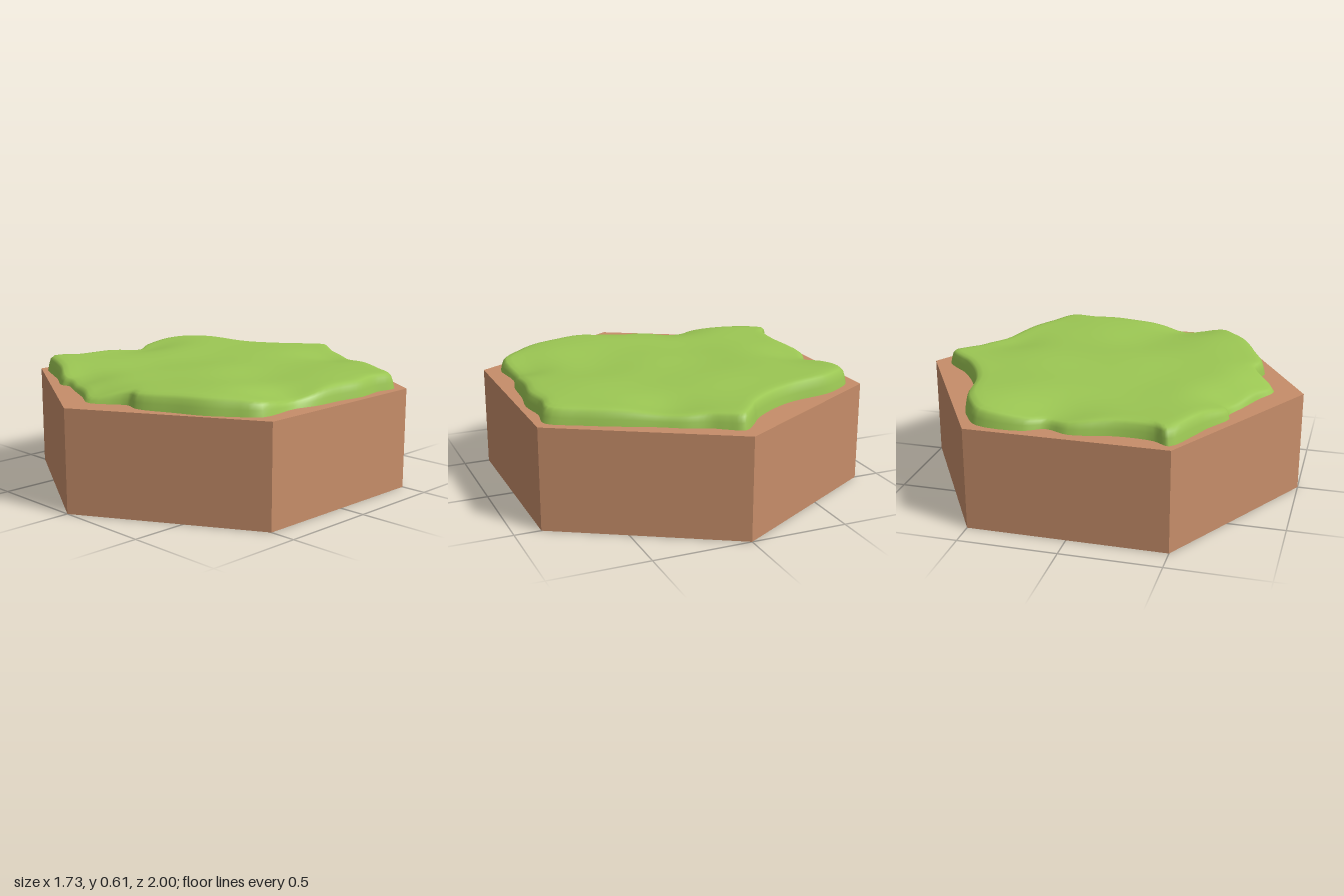
import * as THREE from 'three';

const BASE_HEIGHT = 0.52;

// Edge of the turf as [x, z], starting at the back tip and running over +x
const OUTLINE = [
  [0, -0.91], [0.07, -0.87], [0.14, -0.82], [0.24, -0.78], [0.36, -0.71], [0.55, -0.62],
  [0.68, -0.55], [0.82, -0.46], [0.81, -0.33], [0.83, -0.19], [0.81, -0.05], [0.8, 0.12],
  [0.77, 0.25], [0.78, 0.47], [0.68, 0.56], [0.57, 0.64], [0.43, 0.7], [0.25, 0.77],
  [0.16, 0.75], [0, 0.85], [-0.13, 0.79], [-0.27, 0.73], [-0.38, 0.68], [-0.43, 0.69],
  [-0.57, 0.61], [-0.66, 0.57], [-0.82, 0.48], [-0.78, 0.4], [-0.77, 0.22], [-0.81, 0],
  [-0.77, -0.12], [-0.82, -0.22], [-0.81, -0.45], [-0.72, -0.53], [-0.62, -0.58],
  [-0.41, -0.62], [-0.27, -0.68], [-0.13, -0.78], [-0.08, -0.84],
];

// Gentle hollows and mounds: [x, z, radius, height]
const BUMPS = [
  [0.28, -0.64, 0.18, -0.035], [-0.02, 0.86, 0.17, -0.06], [-0.3, 0.72, 0.18, -0.05],
  [-0.72, -0.08, 0.2, -0.035], [0.76, 0.25, 0.17, -0.05], [-0.25, 0.28, 0.2, -0.018],
  [0.35, 0.05, 0.2, -0.012], [-0.45, -0.4, 0.25, 0.012], [0.55, 0.48, 0.18, 0.01],
];

function turfHeight(x, z) {
  let h = 0.083 + 0.005 * Math.sin(9 * x + 3 * z) * Math.cos(8 * z - 2 * x);
  for (const [bx, bz, r, amount] of BUMPS) {
    h += amount * Math.exp(-((x - bx) ** 2 + (z - bz) ** 2) / (r * r));
  }
  return Math.min(Math.max(h, 0.014), 0.1);
}

// Concentric rings: steep rim, rounded shoulder, then the rolling top
function turfGeometry() {
  const curve = new THREE.CatmullRomCurve3(
    OUTLINE.map(([x, z]) => new THREE.Vector3(x, 0, z)), true, 'centripetal');
  const n = 156;
  const edge = Array.from({ length: n }, (_, i) => curve.getPoint(i / n));
  const rings = [[1, 0], [0.992, 0.4], [0.982, 0.75], [0.965, 0.93], [0.93, 1]];
  for (let i = 1; i <= 18; i++) rings.push([0.93 * (1 - i / 18.3), 1]);

  const positions = [];
  const index = [];
  for (const [scale, rise] of rings) {
    for (const p of edge) {
      const x = p.x * scale, z = p.z * scale;
      positions.push(x, BASE_HEIGHT + rise * turfHeight(x, z), z);
    }
  }
  for (let r = 0; r < rings.length - 1; r++) {
    for (let i = 0; i < n; i++) {
      const j = (i + 1) % n;
      const a = r * n + i, b = r * n + j, c = a + n, d = b + n;
      index.push(a, c, b, c, d, b);
    }
  }
  // Close the middle
  const centre = positions.length / 3;
  positions.push(0, BASE_HEIGHT + turfHeight(0, 0), 0);
  const last = (rings.length - 1) * n;
  for (let i = 0; i < n; i++) index.push(last + i, centre, last + (i + 1) % n);

  const geometry = new THREE.BufferGeometry();
  geometry.setAttribute('position', new THREE.Float32BufferAttribute(positions, 3));
  geometry.setIndex(index);
  geometry.computeVertexNormals();
  return geometry;
}

export function createModel() {
  const soil = new THREE.MeshStandardMaterial({ color: 0xc68d69 });
  soil.name = 'soil brown';
  soil.flatShading = true;
  const grass = new THREE.MeshStandardMaterial({ color: 0x9bc653 });
  grass.name = 'grass green';

  const group = new THREE.Group();
  group.name = 'hexGrassTile';

  // Hexagonal earth block with points to front and back
  const base = new THREE.Mesh(new THREE.CylinderGeometry(1, 1, BASE_HEIGHT, 6), soil);
  base.name = 'soilBase';
  base.position.y = BASE_HEIGHT / 2;

  const turf = new THREE.Mesh(turfGeometry(), grass);
  turf.name = 'grassTop';

  group.add(base, turf);
  return group;
}
